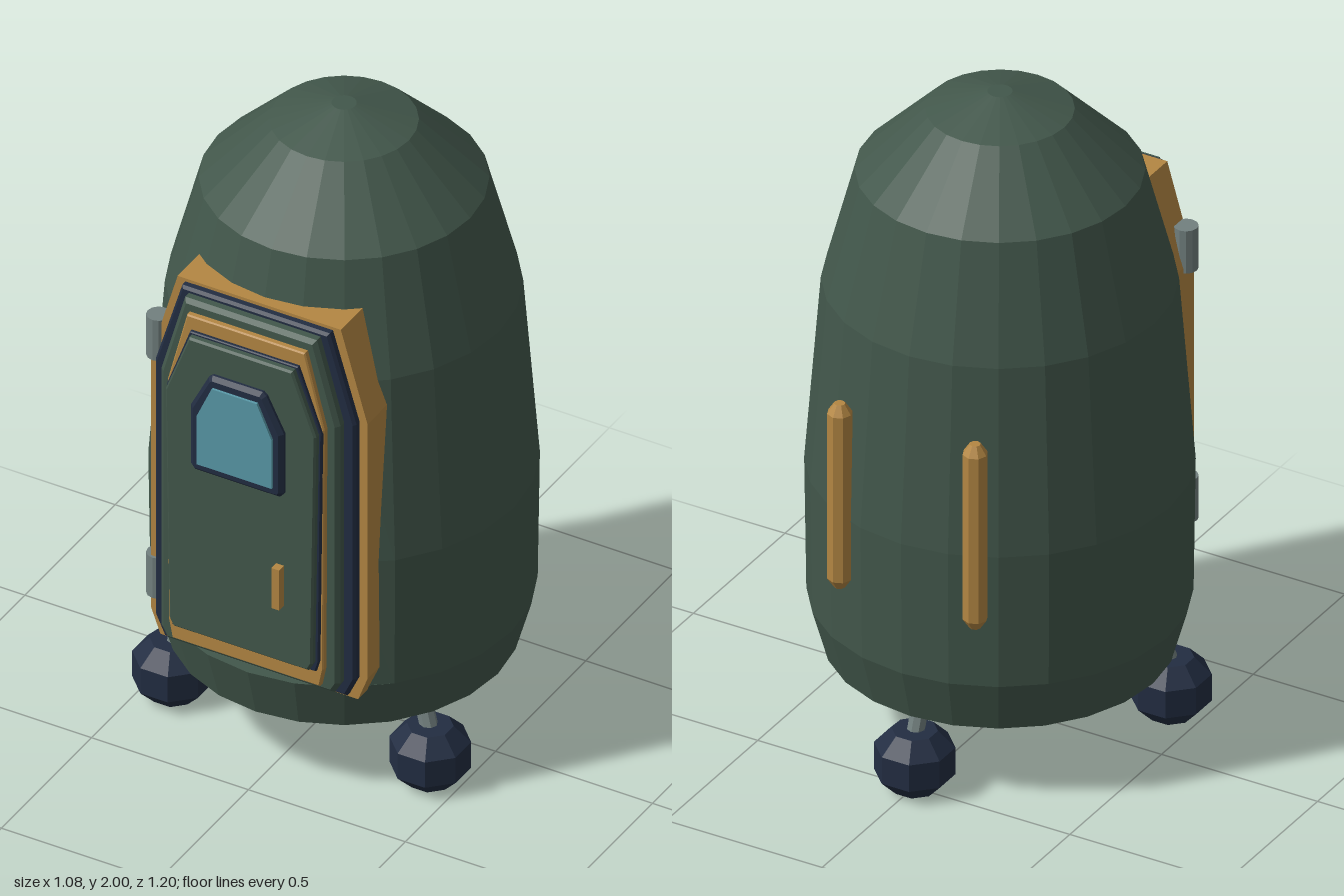
import * as THREE from 'three';

const mat = (name, color) => {
  const m = new THREE.MeshStandardMaterial({ color });
  m.name = name;
  return m;
};

export function createModel() {
  const green = mat('hull green', 0x42574b);
  const gold = mat('ochre trim', 0xb48743);
  const navy = mat('dark navy', 0x222d42);
  const glass = mat('window glass', 0x5999a8);
  const grey = mat('grey metal', 0x72807f);
  const group = new THREE.Group();

  // Adds a faceted mesh
  const add = (name, geometry, material, x = 0, y = 0, z = 0) => {
    const g = geometry.index ? geometry.toNonIndexed() : geometry;
    g.computeVertexNormals();
    const mesh = new THREE.Mesh(g, material);
    mesh.name = name;
    mesh.position.set(x, y, z);
    group.add(mesh);
    return mesh;
  };
  const lathe = (profile, sides, start = 0) => new THREE.LatheGeometry(
    profile.map(([r, y]) => new THREE.Vector2(r, y)), sides, start);

  // Bevelled plate, symmetric in x, from its right-hand outline (bottom to top)
  const plate = (name, half, z0, z1, bevel, material) => {
    const pts = [...half, ...half.map(([x, y]) => [-x, y]).reverse()];
    const shape = new THREE.Shape(pts.map(([x, y]) => new THREE.Vector2(x, y)));
    const geo = new THREE.ExtrudeGeometry(shape, {
      depth: z1 - z0 - 2 * bevel, bevelEnabled: bevel > 0, bevelSegments: 1,
      bevelSize: bevel, bevelThickness: bevel, bevelOffset: -bevel,
    });
    return add(name, geo, material, 0, 0, z0 + bevel);
  };

  // Hull: lower bowl with a ledge, and the tapering shell above it
  const cz = -0.03;
  add('lowerHull', lathe([[0, 0.165], [0.34, 0.165], [0.49, 0.24], [0.535, 0.4], [0, 0.4]], 24),
    green, 0, 0, cz);
  const shell = lathe([[0.535, 0.4], [0.541, 0.82], [0.495, 1.4], [0.402, 1.75],
    [0.207, 1.945], [0.035, 2], [0, 2]], 24);
  const p = shell.attributes.position;
  for (let i = 0; i < p.count; i++) { // flat recess behind the door
    if (p.getY(i) < 1) p.setZ(i, Math.min(p.getZ(i), 0.43 - cz));
  }
  add('upperHull', shell, green, 0, 0, cz);

  // Stepped door surround and door
  plate('doorFrame', [[0.315, 0.38], [0.345, 0.46], [0.345, 1.32], [0.26, 1.61]],
    0.2, 0.44, 0, gold);
  plate('doorSeal', [[0.29, 0.395], [0.32, 0.46], [0.32, 1.32], [0.235, 1.6]],
    0.42, 0.465, 0.008, navy);
  plate('doorSurround', [[0.265, 0.415], [0.285, 0.45], [0.285, 1.32], [0.21, 1.585]],
    0.44, 0.497, 0.012, green);
  plate('doorTrim', [[0.235, 0.44], [0.247, 0.5], [0.25, 1.31], [0.188, 1.55]],
    0.49, 0.515, 0.004, gold);
  plate('doorGasket', [[0.228, 0.495], [0.238, 0.53], [0.247, 1.3], [0.172, 1.505]],
    0.51, 0.526, 0.003, navy);
  plate('door', [[0.215, 0.505], [0.228, 0.53], [0.24, 1.3], [0.165, 1.498]],
    0.52, 0.546, 0.006, green);

  // Window
  plate('windowFrame', [[0.135, 1.075], [0.148, 1.09], [0.148, 1.29], [0.092, 1.4], [0.08, 1.41]],
    0.54, 0.572, 0.012, navy);
  plate('windowPane', [[0.12, 1.108], [0.12, 1.27], [0.072, 1.378]],
    0.571, 0.58, 0, glass);

  // Door handle
  add('doorHandle', new THREE.BoxGeometry(0.025, 0.135, 0.027), gold, 0.142, 0.788, 0.585);

  // Hinges
  for (const y of [0.568, 1.372]) {
    add('hinge', new THREE.CylinderGeometry(0.035, 0.035, 0.136, 12), grey, -0.335, y, 0.415);
  }

  // Rear grab rails
  for (const x of [-0.217, 0.217]) {
    add('rearRail', lathe([[0, 0.6], [0.016, 0.6], [0.036, 0.63], [0.036, 1.16],
      [0.016, 1.19], [0, 1.19]], 8), gold, x, 0, -0.535);
  }

  // Feet with slanted struts
  const up = new THREE.Vector3(0, 1, 0);
  for (const [x, z] of [[-0.41, 0.205], [0.41, 0.205], [0, -0.495]]) {
    add('foot', lathe([[0, 0], [0.065, 0], [0.114, 0.05], [0.114, 0.135],
      [0.065, 0.185], [0, 0.185]], 8, Math.PI / 8), navy, x, 0, z);
    const a = new THREE.Vector3(x, 0.16, z);
    const b = new THREE.Vector3(x * 0.86, 0.32, cz + (z - cz) * 0.88);
    const d = b.clone().sub(a);
    const strut = add('strut', new THREE.CylinderGeometry(0.026, 0.026, d.length(), 8), grey);
    strut.position.copy(a).add(b).multiplyScalar(0.5);
    strut.quaternion.setFromUnitVectors(up, d.normalize());
  }

  // Thruster ring under the hull
  const ring = add('thrusterRing', lathe([[0.18, 0.17], [0.18, 0.15], [0.2, 0.138],
    [0.235, 0.138], [0.252, 0.15], [0.252, 0.17]], 24), grey, 0, 0, -0.055);
  ring.scale.z = 0.88;

  return group;
}
